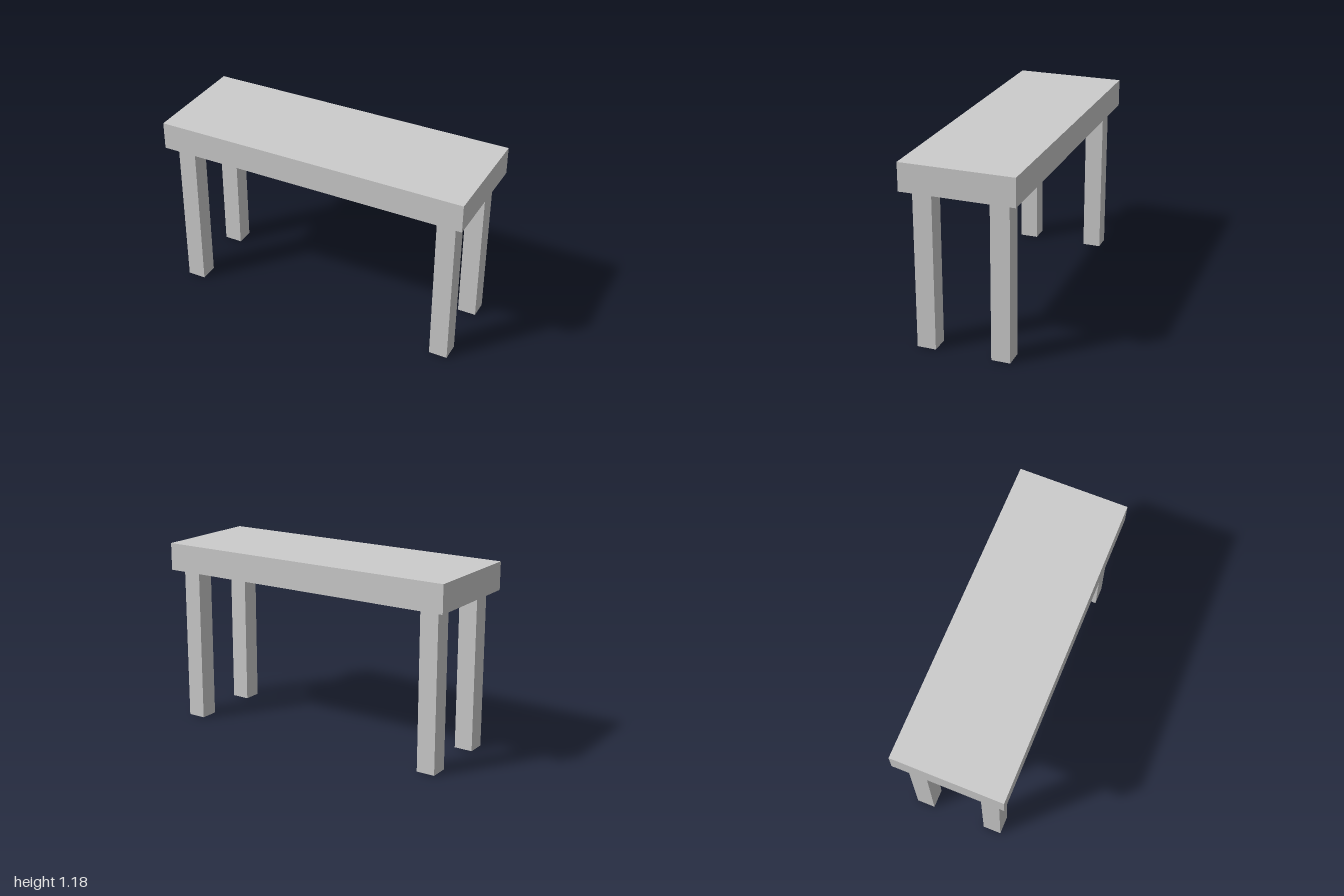
import * as THREE from 'three';

const material = new THREE.MeshStandardMaterial({ color: 0xcccccc });

function box(name, width, height, depth, x, y, z) {
  const mesh = new THREE.Mesh(new THREE.BoxGeometry(width, height, depth), material);
  mesh.name = name;
  mesh.position.set(x, y, z);
  return mesh;
}

export function createModel() {
  const group = new THREE.Group();
  group.name = 'table';

  const legHeight = 1;
  const legWidth = 0.118;
  const topThickness = 0.176;

  // Thick slab top
  group.add(box('tableTop', 2, topThickness, 0.706, 0, legHeight + topThickness / 2, 0));

  // Four square legs, inset from the corners
  for (const [side, sx] of [['Left', 1], ['Right', -1]]) {
    for (const [end, sz] of [['front', 1], ['back', -1]]) {
      group.add(box(`${end}${side}Leg`, legWidth, legHeight, legWidth, sx * 0.882, legHeight / 2, sz * 0.235));
    }
  }
  return group;
}
